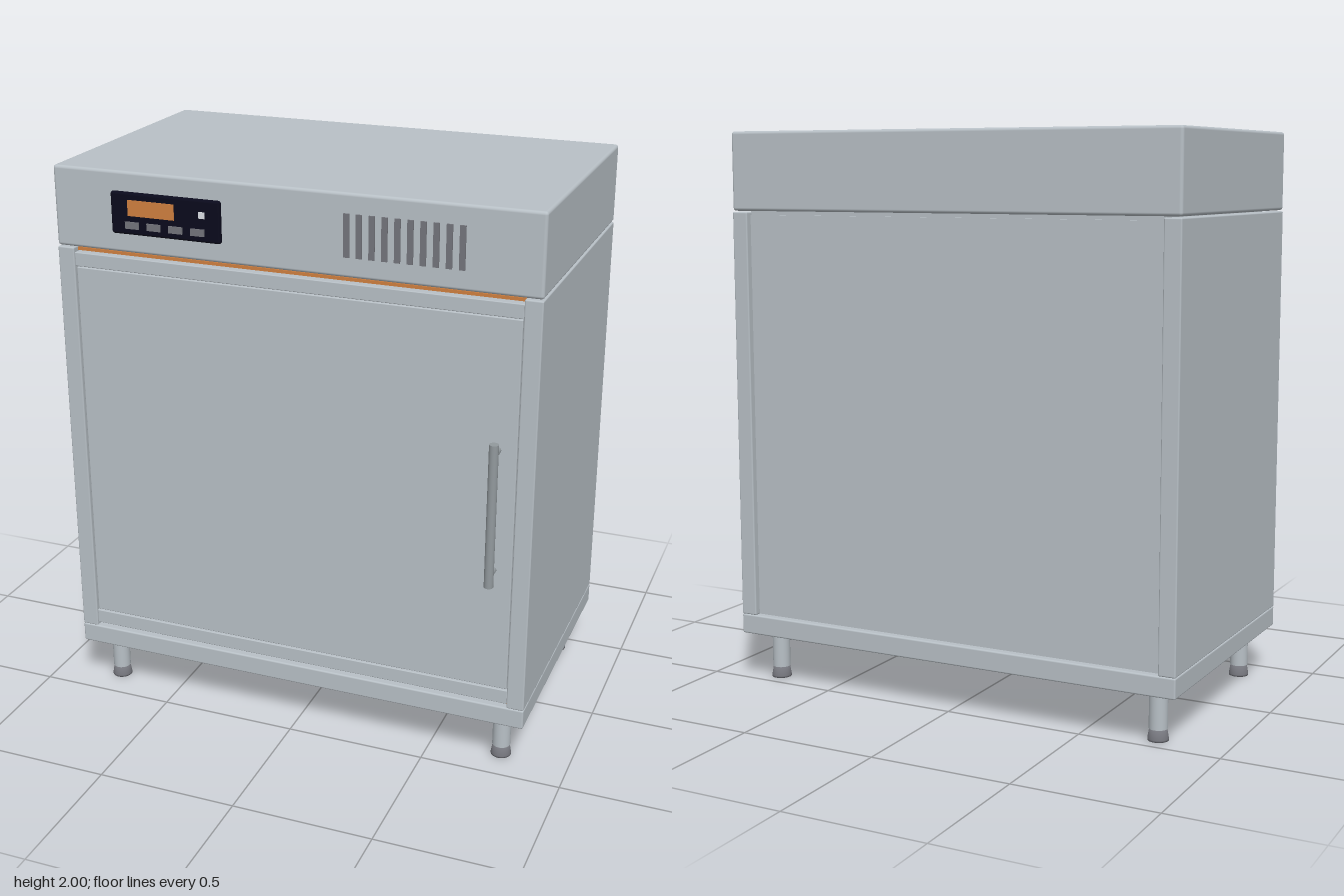
import * as THREE from 'three';
import { RoundedBoxGeometry } from 'three/addons/geometries/RoundedBoxGeometry.js';

export function createModel() {
  const model = new THREE.Group();
  model.name = 'cabinet';

  const material = (name, color) => {
    const m = new THREE.MeshStandardMaterial({ color });
    m.name = name;
    return m;
  };
  const steel = material('brushed steel', 0xb8c0c6);
  const grey = material('handle grey', 0x92999d);
  const dark = material('dark grey', 0x74757c);
  const navy = material('panel navy', 0x0a0a1c);
  const orange = material('orange', 0xd08040);
  const white = material('indicator white', 0xe8ecf2);

  const add = (name, geometry, mat, x = 0, y = 0, z = 0, parent = model) => {
    const mesh = new THREE.Mesh(geometry, mat);
    mesh.name = name;
    mesh.position.set(x, y, z);
    parent.add(mesh);
    return mesh;
  };
  // Box given by its limits on each axis, with optional rounded edges
  const box = (name, mat, [x0, x1], [y0, y1], [z0, z1], r = 0, parent = model) => {
    const size = [x1 - x0, y1 - y0, z1 - z0];
    const g = r ? new RoundedBoxGeometry(...size, 3, r) : new THREE.BoxGeometry(...size);
    return add(name, g, mat, (x0 + x1) / 2, (y0 + y1) / 2, (z0 + z1) / 2, parent);
  };

  const W = 0.853, IN = 0.792, FRONT = 0.468, BACK = -0.528;

  // Carcass
  box('topHousing', steel, [-W, W], [1.722, 2], [BACK, FRONT], 0.011);
  box('base', steel, [-W, W], [0.178, 0.25], [BACK, FRONT], 0.006);
  for (const s of [-1, 1]) {
    const xs = s > 0 ? [IN, W] : [-W, -IN];
    box(s > 0 ? 'leftWall' : 'rightWall', steel, xs, [0.25, 1.718], [BACK, FRONT], 0.005);
  }
  box('innerBody', steel, [-IN, IN], [0.24, 1.73], [-0.5, 0.42]);
  box('backPanel', steel, [-IN + 0.004, IN - 0.004], [0.254, 1.708], [-0.51, -0.498]);

  // Door with rails and the seals showing in its gaps
  box('doorPanel', steel, [-IN + 0.004, IN - 0.004], [0.32, 1.648], [0.42, 0.461], 0.003);
  box('topRail', steel, [-IN, IN], [1.652, 1.701], [0.42, 0.464], 0.003);
  box('bottomRail', steel, [-IN, IN], [0.264, 0.316], [0.42, 0.464], 0.003);
  box('topSeal', orange, [-IN, IN], [1.703, 1.714], [0.42, 0.44]);
  box('bottomSeal', orange, [-IN, IN], [0.248, 0.261], [0.42, 0.44]);

  // Bar handle on two posts
  const handle = new THREE.Group();
  handle.name = 'handle';
  handle.position.set(0.725, 0.984, 0);
  model.add(handle);
  add('handleBar', new THREE.CylinderGeometry(0.016, 0.016, 0.512, 20), grey, 0, 0, 0.512, handle);
  for (const y of [-0.216, 0.216]) {
    const post = add('handlePost', new THREE.CylinderGeometry(0.011, 0.011, 0.06, 14), grey, 0, y, 0.482, handle);
    post.rotation.x = Math.PI / 2;
  }

  // Control panel
  const panel = new THREE.Group();
  panel.name = 'controlPanel';
  model.add(panel);
  box('panelPlate', navy, [-0.631, -0.231], [1.79, 1.934], [0.464, 0.485], 0.009, panel);
  box('display', orange, [-0.566, -0.396], [1.856, 1.91], [0.48, 0.488], 0, panel);
  for (let i = 0; i < 4; i++) {
    const x = -0.552 + i * 0.08;
    box('button', dark, [x - 0.025, x + 0.025], [1.812, 1.836], [0.481, 0.49], 0, panel);
  }
  box('indicator', white, [-0.306, -0.284], [1.872, 1.894], [0.48, 0.488], 0, panel);

  // Vent slots
  for (let i = 0; i < 10; i++) {
    const x = 0.204 + i * 0.0428;
    box('ventSlot', dark, [x - 0.01, x + 0.01], [1.79, 1.934], [0.464, 0.473]);
  }

  // Legs with flared feet
  const footProfile = [[0, 0], [0.036, 0], [0.036, 0.006], [0.03, 0.04], [0, 0.04]]
    .map(([r, y]) => new THREE.Vector2(r, y));
  for (const x of [-0.755, 0.755]) {
    for (const z of [-0.425, 0.368]) {
      add('leg', new THREE.CylinderGeometry(0.032, 0.032, 0.145, 24), steel, x, 0.1125, z);
      add('foot', new THREE.LatheGeometry(footProfile, 24), dark, x, 0, z);
    }
  }
  return model;
}
